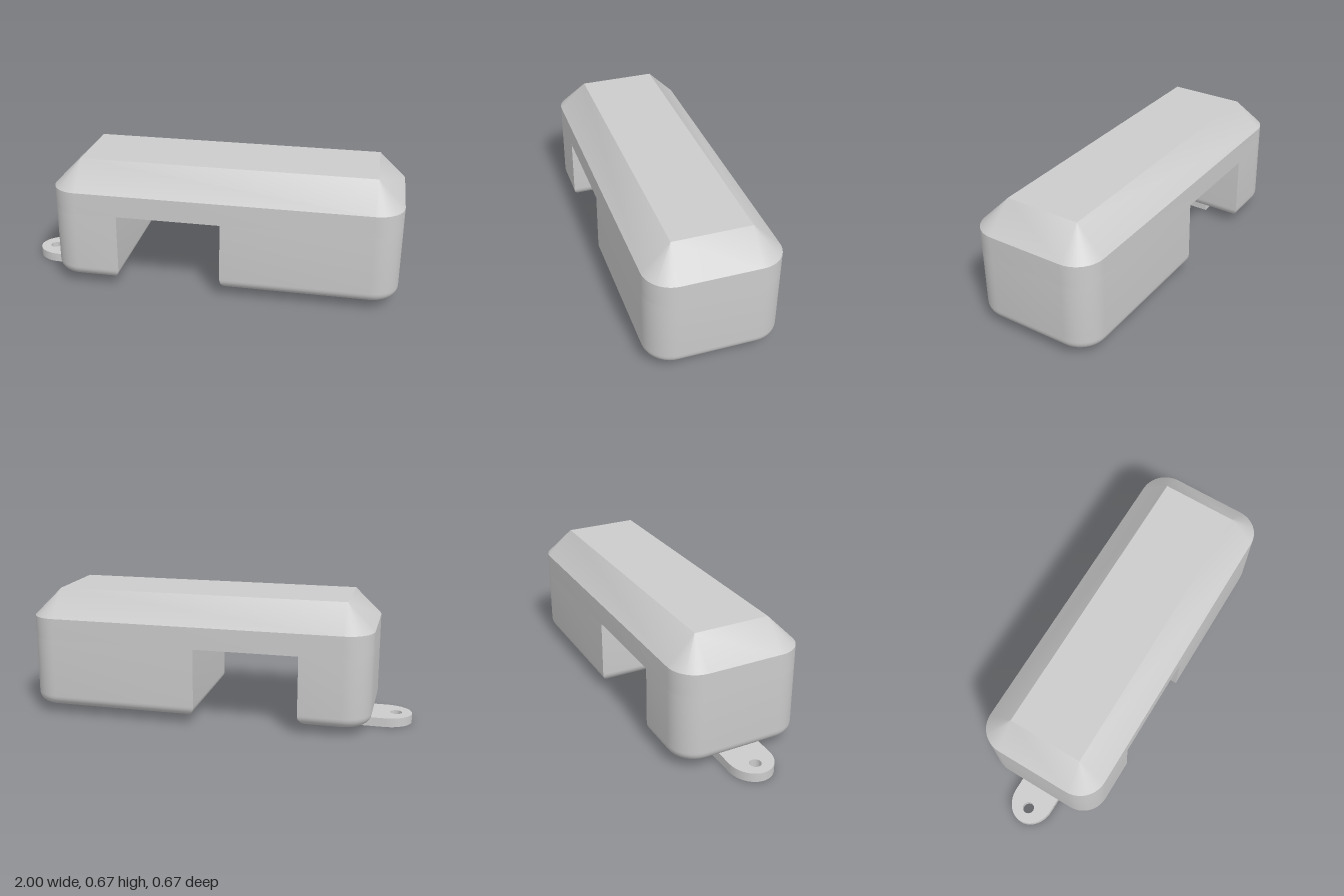
import * as THREE from 'three';
import { mergeGeometries, toCreasedNormals } from 'three/addons/utils/BufferGeometryUtils.js';

const X0 = -0.805, X1 = 1.0, HALF = 0.337; // body extents
const GAP0 = -0.445, GAP1 = 0.095; // opening between the legs
const BOTTOM = 0.047, GAP_TOP = 0.41, EAVE = 0.525, TOP = 0.665;
const R = 0.14, FILLET = 0.055, SEG = 10;

const material = new THREE.MeshStandardMaterial({ color: 0xcccccc });

// Footprint outline in (x, z), shrunk by inset; rL and rR round the -x and +x corners
function outline(x0, x1, half, rL, rR, inset = 0) {
  const points = [];
  [[1, 1, rR], [-1, 1, rL], [-1, -1, rL], [1, -1, rR]].forEach(([sx, sz, radius], k) => {
    const r = Math.max(radius - inset, 0);
    const cx = (sx > 0 ? x1 - inset : x0 + inset) - sx * r;
    const cz = sz * (half - inset - r);
    const steps = radius > 0 ? SEG : 0;
    for (let i = 0; i <= steps; i++) {
      const a = (k + (steps ? i / steps : 0)) * Math.PI / 2;
      points.push(new THREE.Vector2(cx + r * Math.cos(a), cz + r * Math.sin(a)));
    }
  });
  return points;
}

// Skin through stacked outlines: rings = [{ y, points }]; downward order faces inward
function loft(rings) {
  const positions = [];
  const n = rings[0].points.length;
  const at = (k, i) => {
    const p = rings[k].points[i % n];
    return new THREE.Vector3(p.x, rings[k].y, p.y);
  };
  const triangle = (a, b, c) => {
    if (new THREE.Triangle(a, b, c).getArea() < 1e-9) return;
    for (const v of [a, b, c]) positions.push(v.x, v.y, v.z);
  };
  for (let k = 0; k + 1 < rings.length; k++) {
    for (let i = 0; i < n; i++) {
      const a = at(k, i), b = at(k, i + 1), c = at(k + 1, i + 1), d = at(k + 1, i);
      triangle(a, d, c);
      triangle(a, c, b);
    }
  }
  const geometry = new THREE.BufferGeometry();
  geometry.setAttribute('position', new THREE.Float32BufferAttribute(positions, 3));
  return toCreasedNormals(geometry, 0.5);
}

// Flat horizontal face, looking up or down, with an optional hole
function cap(points, y, up, hole) {
  const s = up ? -1 : 1;
  const flip = (list) => list.map((p) => new THREE.Vector2(p.x, s * p.y));
  const shape = new THREE.Shape(flip(points));
  if (hole) shape.holes.push(new THREE.Path(flip(hole)));
  const geometry = new THREE.ShapeGeometry(shape).rotateX(s * Math.PI / 2).translate(0, y, 0).toNonIndexed();
  geometry.deleteAttribute('uv');
  return geometry;
}

function part(name, geometries) {
  const mesh = new THREE.Mesh(mergeGeometries(geometries), material);
  mesh.name = name;
  return mesh;
}

// Leg with a filleted bottom edge
function leg(name, x0, x1, rL, rR, slot) {
  const rings = [];
  for (let i = 0; i <= 8; i++) {
    const a = (i / 8) * Math.PI / 2;
    rings.push({
      y: BOTTOM + FILLET * (1 - Math.sin(a)),
      points: outline(x0, x1, HALF, rL, rR, FILLET * (1 - Math.cos(a))),
    });
  }
  rings.reverse();
  rings.push({ y: GAP_TOP, points: outline(x0, x1, HALF, rL, rR) });
  return part(name, [loft(rings), cap(rings[0].points, BOTTOM, false, slot)]);
}

export function createModel() {
  const model = new THREE.Group();
  model.name = 'slottedBridgeBlock';

  // Upper body with chamfered roof
  const full = outline(X0, X1, HALF, R, R);
  const roof = outline(X0, X1, HALF, R, R, R);
  const roofCorners = [0, 1, 2, 3].map((k) => roof[k * (SEG + 1)]);
  model.add(part('upperBody', [
    loft([{ y: GAP_TOP, points: full }, { y: EAVE, points: full }, { y: TOP, points: roof }]),
    cap(roofCorners, TOP, true),
    cap(outline(GAP0, GAP1, HALF, 0, 0), GAP_TOP, false),
  ]));

  // Short leg, and long leg with a rectangular pocket underneath
  const slot = outline(0.49, 0.665, 0.18, 0, 0);
  const slotTop = BOTTOM + 0.3;
  model.add(leg('shortLeg', X0, GAP0, R, 0));
  model.add(leg('longLeg', GAP1, X1, 0, R, slot));
  model.add(part('pocket', [
    loft([{ y: slotTop, points: slot }, { y: BOTTOM, points: slot }]),
    cap(slot, slotTop, false),
  ]));

  // Flat tab with a rounded, pierced end
  const tabShape = new THREE.Shape();
  tabShape.moveTo(-0.5, -0.112);
  tabShape.lineTo(-0.5, 0.112);
  tabShape.lineTo(-0.865, 0.112);
  tabShape.absellipse(-0.865, 0, 0.135, 0.112, Math.PI / 2, Math.PI * 1.5, false);
  tabShape.closePath();
  tabShape.holes.push(new THREE.Path().absarc(-0.918, 0, 0.03, 0, Math.PI * 2, true));
  const tab = new THREE.ExtrudeGeometry(tabShape, { depth: BOTTOM, bevelEnabled: false, curveSegments: 24 });
  tab.rotateX(-Math.PI / 2);
  model.add(part('tab', [toCreasedNormals(tab, 0.5)]));

  return model;
}
